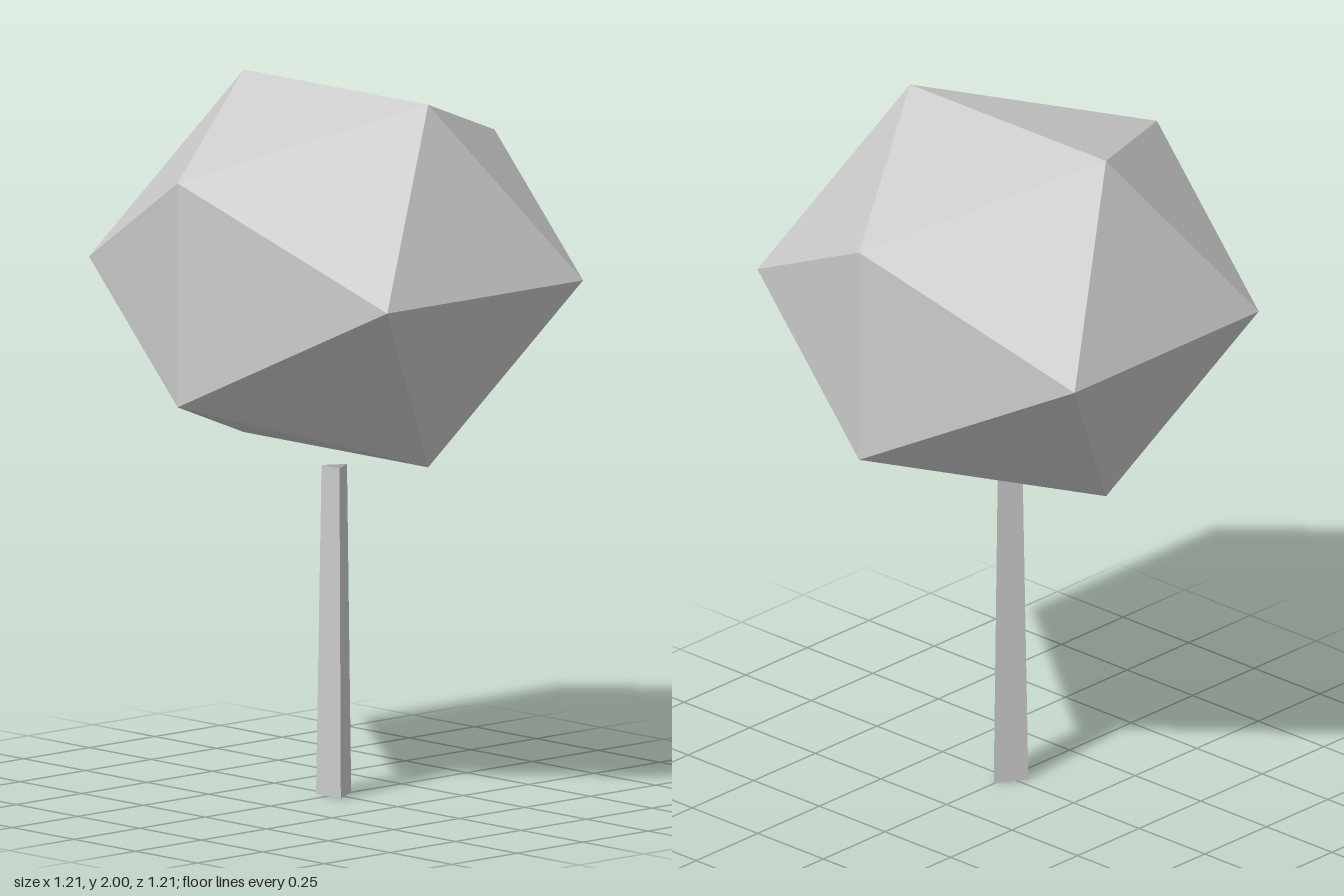
import * as THREE from 'three';

export function createModel() {
  const group = new THREE.Group();
  group.name = 'lowPolyTree';

  const gray = new THREE.MeshStandardMaterial({
    color: 0xcccccc, flatShading: true, side: THREE.DoubleSide,
  });
  gray.name = 'light gray';

  // Canopy: squashed icosahedron with its top edge running front to back
  const canopyGeometry = new THREE.IcosahedronGeometry(0.711, 0);
  canopyGeometry.rotateY(Math.PI / 2);
  canopyGeometry.scale(1, 0.847, 1);
  const canopy = new THREE.Mesh(canopyGeometry, gray);
  canopy.name = 'canopy';
  canopy.position.y = 1.4877;

  // Trunk: open, tapered three-sided tube with one corner toward +x
  const trunkGeometry = new THREE.CylinderGeometry(0.042, 0.058, 0.93, 3, 1, true, Math.PI / 2);
  const trunk = new THREE.Mesh(trunkGeometry, gray);
  trunk.name = 'trunk';
  trunk.position.y = 0.465;

  group.add(canopy, trunk);
  return group;
}
